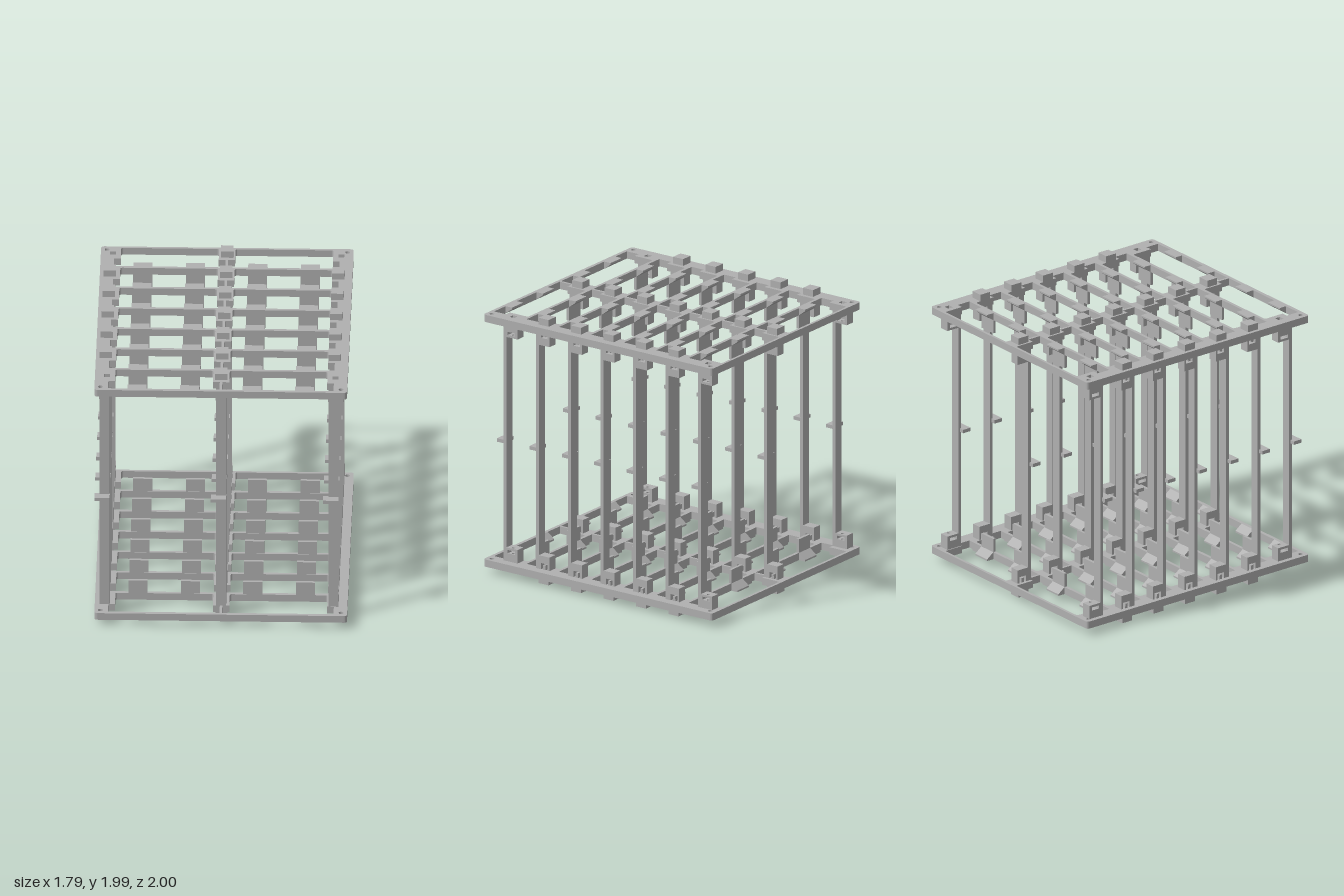
import * as THREE from 'three';

const HEIGHT = 1.985, MID = HEIGHT / 2;
const PLATE_Y = 0.05, PLATE_T = 0.054, FOOT_TOP = 0.205;
const ROWS = 7, PITCH = 0.2835, FIRST = -0.905;
const COLUMNS = [-0.823, 0, 0.794];
const rowZ = (k) => FIRST + PITCH * k;
const barZ = (k) => -0.727 + PITCH * k; // back face of the cross bar ending each row

const grey = new THREE.MeshStandardMaterial({ color: 0xb0b0b0 });
grey.name = 'plain grey';

function add(parent, name, geometry) {
  const mesh = new THREE.Mesh(geometry, grey);
  mesh.name = name;
  parent.add(mesh);
  return mesh;
}

function box(parent, name, x0, x1, y0, y1, z0, z1) {
  const g = new THREE.BoxGeometry(x1 - x0, Math.abs(y1 - y0), z1 - z0);
  g.translate((x0 + x1) / 2, (y0 + y1) / 2, (z0 + z1) / 2);
  return add(parent, name, g);
}

const polygon = (points) => new THREE.Shape(points.map(([a, b]) => new THREE.Vector2(a, b)));
const circle = (x, z, r) => new THREE.Path().absarc(x, z, r, 0, Math.PI * 2);

// Extrude a (z, y) profile along x, centred on x
function extrudeX(shape, x, width) {
  const g = new THREE.ExtrudeGeometry(shape, { depth: width, bevelEnabled: false });
  return g.rotateY(-Math.PI / 2).translate(x + width / 2, 0, 0);
}

// Extrude an (x, z) outline upward between two heights
function extrudeY(shape, ya, yb) {
  const g = new THREE.ExtrudeGeometry(shape, { depth: Math.abs(yb - ya), bevelEnabled: false, curveSegments: 8 });
  return g.rotateX(Math.PI / 2).translate(0, Math.max(ya, yb), 0);
}

// Opening in the plate: wide rail beside the post, narrow rail after it
function cellOpening(k, side) {
  const z0 = k === 0 ? -0.98 : barZ(k - 1) + 0.023;
  const z1 = barZ(k), step = rowZ(k) + 0.075, r = 0.015;
  const p = new THREE.Path();
  p.moveTo(side * (0.75 - r), z0);
  p.quadraticCurveTo(side * 0.75, z0, side * 0.75, z0 + r);
  p.lineTo(side * 0.75, step);
  p.lineTo(side * 0.797, step);
  p.lineTo(side * 0.797, z1);
  p.lineTo(side * 0.009, z1);
  p.lineTo(side * 0.009, step);
  p.lineTo(side * 0.058, step);
  p.lineTo(side * 0.058, z0 + r);
  p.quadraticCurveTo(side * 0.058, z0, side * (0.058 + r), z0);
  p.closePath();
  return p;
}

function plateShape() {
  const w = 0.893, d = 1, r = 0.025;
  const s = new THREE.Shape();
  s.moveTo(-w + r, -d);
  s.lineTo(w - r, -d).quadraticCurveTo(w, -d, w, -d + r);
  s.lineTo(w, d - r).quadraticCurveTo(w, d, w - r, d);
  s.lineTo(-w + r, d).quadraticCurveTo(-w, d, -w, d - r);
  s.lineTo(-w, -d + r).quadraticCurveTo(-w, -d, -w + r, -d);
  for (const side of [-1, 1]) {
    for (let k = 0; k < ROWS; k++) s.holes.push(cellOpening(k, side));
    for (const z of [-0.955, 0.955]) s.holes.push(circle(side * 0.85, z, 0.017));
    // Square pockets above the corner feet
    for (const z of [rowZ(0), rowZ(ROWS - 1)]) {
      const x = side * 0.807, h = 0.021;
      s.holes.push(polygon([[x - h, z - h], [x + h, z - h], [x + h, z + h], [x - h, z + h]]));
    }
  }
  return s;
}

// Foot with an arched slot, open at the plate, leaving a central tongue
function snapFoot(parent, x, c, Y) {
  const a = PLATE_Y + PLATE_T;
  const foot = [
    [-0.045, a], [-0.029, a], [-0.029, a + 0.046], [0.029, a + 0.046], [0.029, a],
    [0.053, a], [0.053, FOOT_TOP], [-0.045, FOOT_TOP],
  ];
  const tongue = [[-0.012, a], [0.012, a], [0.009, a + 0.034], [-0.009, a + 0.034]];
  const place = (pts) => polygon(pts.map(([z, y]) => [c + z, Y(y)]));
  add(parent, 'snapFoot', extrudeX(place(foot), x, 0.072));
  add(parent, 'snapTongue', extrudeX(place(tongue), x, 0.072));
  box(parent, 'peg', x - 0.044, x + 0.044, Y(0), Y(PLATE_Y), c - 0.044, c + 0.044);
}

// Foot with a bolt hole and a cross slot for a nut
function cornerFoot(parent, x, c, Y) {
  const x0 = x - 0.036, x1 = x + 0.036, z0 = c - 0.05, z1 = c + 0.053;
  const s = polygon([[x0, z0], [x1, z0], [x1, z1], [x0, z1]]);
  s.holes.push(circle(Math.sign(x) * 0.807, c, 0.012));
  add(parent, 'cornerFoot', extrudeY(s, Y(PLATE_Y + PLATE_T), Y(0.164)));
  add(parent, 'cornerFootCap', extrudeY(s, Y(0.188), Y(FOOT_TOP)));
  box(parent, 'slotWall', x0, x1, Y(0.164), Y(0.188), z0, c - 0.028);
  box(parent, 'slotWall', x0, x1, Y(0.164), Y(0.188), c + 0.036, z1);
}

// Ramp within the plate thickness, with an upright guide on inner bars
function guide(parent, x, k, Y) {
  const z = barZ(k), a = PLATE_Y, b = PLATE_Y + PLATE_T;
  const ramp = [[z - 0.055, a], [z, a], [z, b], [z - 0.055, a + 0.012]];
  add(parent, 'guideRamp', extrudeX(polygon(ramp.map(([p, q]) => [p, Y(q)])), x, 0.135));
  if (k < ROWS - 1) box(parent, 'guideTab', x - 0.0675, x + 0.0675, Y(b), Y(FOOT_TOP), z, z + 0.021);
}

// One end frame; Y maps heights of the lower frame to either end
function endFrame(name, Y) {
  const g = new THREE.Group();
  g.name = name;
  add(g, 'framePlate', extrudeY(plateShape(), Y(PLATE_Y), Y(PLATE_Y + PLATE_T)));
  for (let k = 0; k < ROWS; k++) {
    COLUMNS.forEach((x, i) => {
      const corner = i !== 1 && (k === 0 || k === ROWS - 1);
      (corner ? cornerFoot : snapFoot)(g, x, rowZ(k), Y);
    });
    for (const x of [-0.592, -0.22, 0.22, 0.592]) guide(g, x, k, Y);
  }
  return g;
}

export function createModel() {
  const model = new THREE.Group();
  model.name = 'slottedRack';
  model.add(endFrame('lowerFrame', (y) => y));
  model.add(endFrame('upperFrame', (y) => HEIGHT - y));

  // Flat posts, each with a small clip at mid height
  const posts = new THREE.Group();
  posts.name = 'posts';
  const y0 = PLATE_Y + PLATE_T;
  for (let k = 0; k < ROWS; k++) {
    const c = rowZ(k);
    for (const x of COLUMNS) {
      box(posts, 'post', x - 0.036, x + 0.036, y0, HEIGHT - y0, c + 0.048, c + 0.074);
      box(posts, 'clip', x - 0.072, x + 0.0365, MID - 0.013, MID + 0.013, c + 0.062, c + 0.13);
    }
  }
  model.add(posts);
  return model;
}
